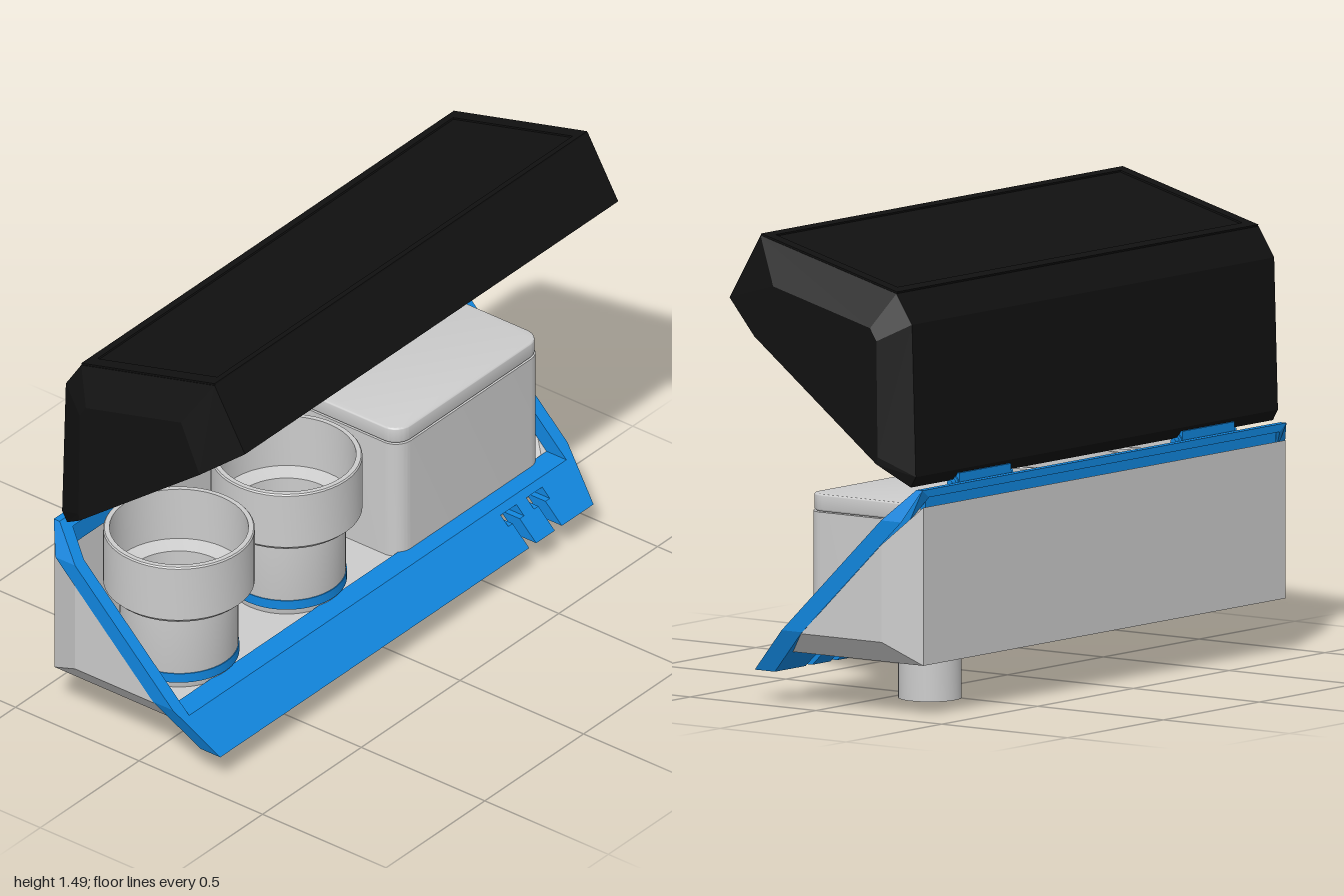
import * as THREE from 'three';
import { toCreasedNormals } from 'three/addons/utils/BufferGeometryUtils.js';

const mat = (color) => new THREE.MeshStandardMaterial({ color, side: THREE.DoubleSide });
const grey = mat(0xcccccc), blue = mat(0x1186de), black = mat(0x111111);

function add(parent, name, geometry, material, x = 0, y = 0, z = 0) {
  const mesh = new THREE.Mesh(geometry, material);
  mesh.name = name;
  mesh.position.set(x, y, z);
  parent.add(mesh);
  return mesh;
}

// Open shell with chamfered ends. Profiles are [z, y] lists running from one
// rim edge to the other; "mid" is used along the length, "end" at the tips.
function shell(outer, inner) {
  const n = outer.mid.length, pos = [];
  const ring = (s, side) => {
    const wall = (w) => w[s].map(([z, y]) => new THREE.Vector3(side * w[s + 'X'], y, z));
    return [...wall(outer), ...wall(inner).reverse()];
  };
  const tri = (...p) => p.forEach((v) => pos.push(v.x, v.y, v.z));
  const quad = (a, b, c, d) => { tri(a, b, c); tri(a, c, d); };
  const rings = [ring('end', -1), ring('mid', -1), ring('mid', 1), ring('end', 1)];
  for (let r = 0; r < 3; r++) {
    for (let i = 0; i < 2 * n; i++) {
      const j = (i + 1) % (2 * n);
      quad(rings[r][i], rings[r + 1][i], rings[r + 1][j], rings[r][j]);
    }
  }
  // end walls and the rim between them
  [[rings[0], true], [rings[3], false]].forEach(([p, flip]) => {
    const t = (a, b, c) => (flip ? tri(a, b, c) : tri(a, c, b));
    for (let i = 1; i < n - 1; i++) {
      t(p[0], p[i], p[i + 1]);
      t(p[n], p[n + i], p[n + i + 1]);
    }
    t(p[0], p[n - 1], p[n]);
    t(p[0], p[n], p[2 * n - 1]);
  });
  const g = new THREE.BufferGeometry();
  g.setAttribute('position', new THREE.Float32BufferAttribute(pos, 3));
  g.computeVertexNormals();
  return g;
}

const polygon = (pts) => new THREE.Shape(pts.map(([x, y]) => new THREE.Vector2(x, y)));
const lathe = (pts, sides = 48) => toCreasedNormals(
  new THREE.LatheGeometry(pts.map(([r, y]) => new THREE.Vector2(r, y)), sides), 0.6);

// Upright block with rounded vertical corners, standing on y = 0
function roundedBlock(w, d, h, r, bevel) {
  const x = w / 2 - bevel, y = d / 2 - bevel, s = new THREE.Shape();
  s.moveTo(-x + r, -y);
  s.absarc(x - r, -y + r, r, -Math.PI / 2, 0);
  s.absarc(x - r, y - r, r, 0, Math.PI / 2);
  s.absarc(-x + r, y - r, r, Math.PI / 2, Math.PI);
  s.absarc(-x + r, -y + r, r, Math.PI, Math.PI * 1.5);
  const g = new THREE.ExtrudeGeometry(s, {
    depth: h - 2 * bevel, bevelEnabled: bevel > 0, bevelSize: bevel,
    bevelThickness: bevel, bevelSegments: 3, curveSegments: 8,
  });
  g.translate(0, 0, bevel).rotateX(-Math.PI / 2);
  return toCreasedNormals(g, 0.6);
}

// Sloping frame with a large opening and two T-shaped slots in its lower bar
function frameGeometry() {
  const slot = (x) => [
    [x - 0.018, 0.1], [x - 0.018, 0.165], [x - 0.04, 0.165], [x - 0.04, 0.195],
    [x + 0.04, 0.195], [x + 0.04, 0.165], [x + 0.018, 0.165], [x + 0.018, 0.1],
  ];
  const s = polygon([
    [-0.945, 0.1], ...slot(0.637), ...slot(0.767), [0.945, 0.1],
    [1, 0.245], [1, 0.63], [0.95, 0.73], [-0.95, 0.73], [-1, 0.63], [-1, 0.245],
  ]);
  s.holes.push(polygon([
    [-0.955, 0.215], [-0.955, 0.63], [-0.915, 0.705],
    [0.915, 0.705], [0.955, 0.63], [0.955, 0.215],
  ]));
  const g = new THREE.ExtrudeGeometry(s, { depth: 1, bevelEnabled: false });
  const p = g.attributes.position;
  for (let i = 0; i < p.count; i++) {
    const z = 0.285 - 1.026 * (p.getY(i) - 0.1) - 0.08 * (1 - p.getZ(i));
    p.setZ(i, Math.max(z, -0.385));
  }
  g.computeVertexNormals();
  return g;
}

export function createModel() {
  const model = new THREE.Group();
  model.name = 'storageConsole';

  // Wedge-shaped tray
  add(model, 'tray', shell(
    {
      midX: 0.945, endX: 0.998,
      mid: [[0.133, 0.17], [-0.385, 0.17], [-0.385, 0.675]],
      end: [[0.061, 0.24], [-0.26, 0.24], [-0.26, 0.553]],
    },
    {
      midX: 0.915, endX: 0.965,
      mid: [[0.102, 0.2], [-0.366, 0.2], [-0.366, 0.656]],
      end: [[0.04, 0.26], [-0.245, 0.26], [-0.245, 0.538]],
    }), grey);

  // Drain pipe under the tray
  add(model, 'drainPipe', lathe([[0.09, 0], [0.1, 0], [0.1, 0.175], [0.09, 0.175], [0.09, 0]]),
    grey, 0.55, 0, -0.11);

  // Frame and its rear lip
  add(model, 'frame', frameGeometry(), blue);
  add(model, 'rearLip', new THREE.BoxGeometry(1.83, 0.09, 0.02), blue, 0, 0.668, -0.36);

  // Stepped cups with a coloured band at the foot
  const cupProfile = [
    [0, 0.2], [0.182, 0.2], [0.188, 0.225], [0.188, 0.462], [0.2, 0.473], [0.225, 0.473],
    [0.24, 0.488], [0.24, 0.68], [0.236, 0.685], [0.22, 0.685], [0.22, 0.5],
    [0.17, 0.485], [0.17, 0.24], [0, 0.24],
  ];
  for (const x of [-0.685, -0.14]) {
    const cup = new THREE.Group();
    cup.name = 'cupHolder';
    cup.position.set(x, 0, -0.09);
    add(cup, 'cup', lathe(cupProfile), grey);
    add(cup, 'cupBand', lathe([[0.18, 0.222], [0.191, 0.222], [0.191, 0.255], [0.18, 0.255]]), blue);
    model.add(cup);
  }

  // Lidded storage box
  add(model, 'storageBox', roundedBlock(0.73, 0.435, 0.42, 0.06, 0), grey, 0.55, 0.2, -0.1125);
  add(model, 'storageBoxLid', roundedBlock(0.726, 0.431, 0.055, 0.055, 0.006), grey, 0.55, 0.622, -0.1125);

  // Raised cover, a hollow shell open towards the tray
  add(model, 'cover', shell(
    {
      midX: 0.945, endX: 1,
      mid: [[0.385, 1.28], [0.262, 1.489], [-0.278, 1.349], [-0.34, 1.255], [-0.355, 0.77], [-0.335, 0.735]],
      end: [[0.245, 1.174], [0.17, 1.34], [-0.215, 1.24], [-0.24, 1.2], [-0.245, 0.83], [-0.24, 0.807]],
    },
    {
      midX: 0.905, endX: 0.955,
      mid: [[0.325, 1.235], [0.235, 1.44], [-0.25, 1.315], [-0.3, 1.235], [-0.305, 0.8], [-0.285, 0.773]],
      end: [[0.21, 1.148], [0.14, 1.3], [-0.18, 1.2], [-0.2, 1.17], [-0.205, 0.85], [-0.2, 0.838]],
    }), black);

  // Border around the recessed top panel of the cover
  const rect = (x, y0, y1) => polygon([[-x, y0], [x, y0], [x, y1], [-x, y1]]);
  const border = rect(0.943, 0, 0.557);
  border.holes.push(rect(0.9, 0.025, 0.525));
  const rim = add(model, 'coverPanelBorder',
    new THREE.ExtrudeGeometry(border, { depth: 0.006, bevelEnabled: false }), black, 0, 1.489, 0.262);
  rim.rotation.x = -Math.PI / 2 - Math.atan2(0.14, 0.54);

  // Two hinges: barrel, end pins and a leaf reaching the cover
  for (const side of [-1, 1]) {
    const hinge = new THREE.Group();
    hinge.name = 'hinge';
    hinge.position.set(side * 0.583, 0.727, -0.335);
    const rod = (r, l) => new THREE.CylinderGeometry(r, r, l, 20).rotateZ(Math.PI / 2);
    add(hinge, 'hingeBarrel', rod(0.019, 0.28), blue);
    add(hinge, 'hingePin', rod(0.01, 0.32), blue);
    add(hinge, 'hingeLeaf', new THREE.BoxGeometry(0.27, 0.035, 0.016), blue, 0, 0.013, -0.012);
    model.add(hinge);
  }

  return model;
}
